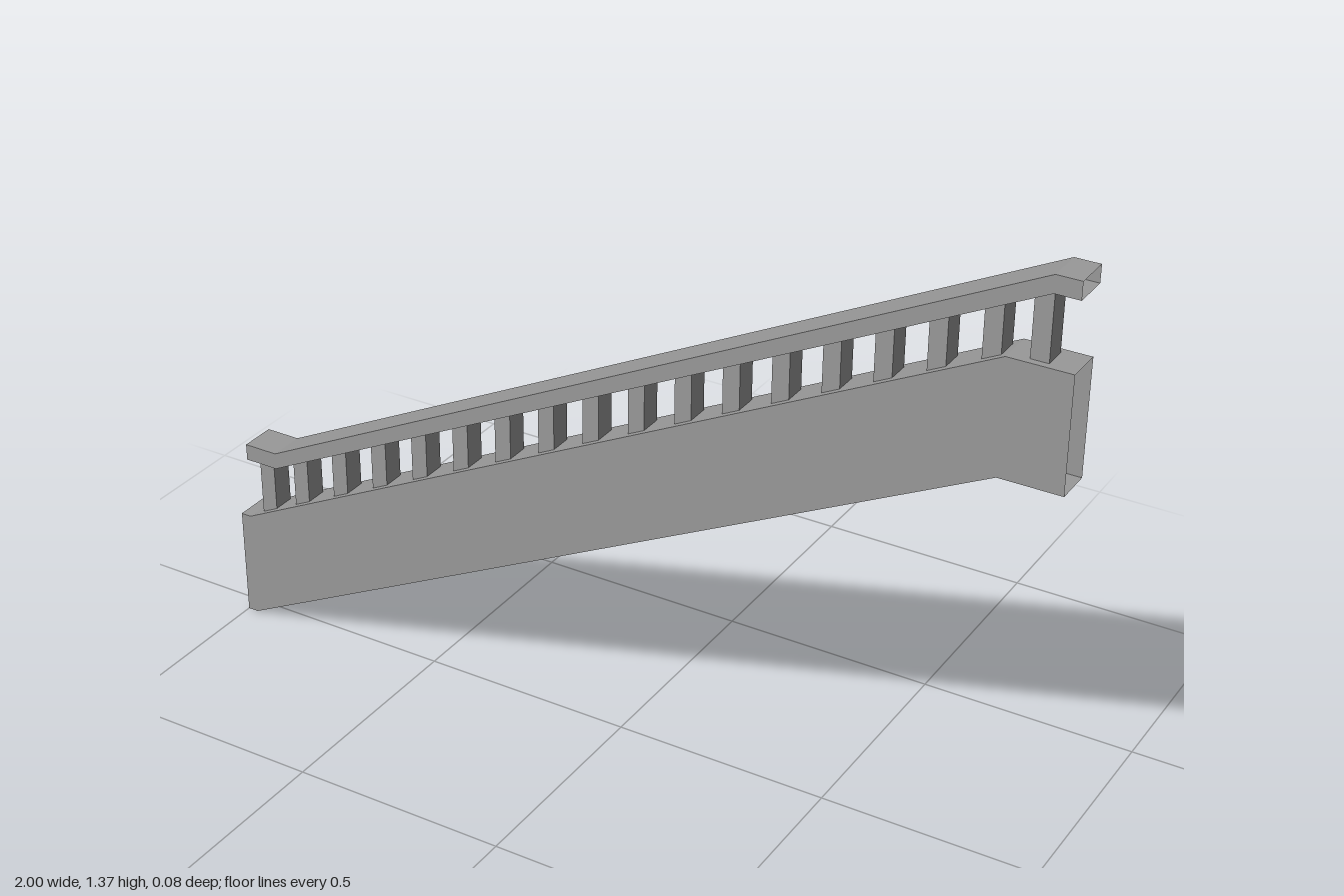
import * as THREE from 'three';

const material = new THREE.MeshStandardMaterial({
  color: 0x999999, flatShading: true, side: THREE.DoubleSide,
});

const SLOPE = 0.92 / 1.835;
const HALF_DEPTH = 0.042;

// Rectangular sleeve with open ends, swept through stations [x, bottom y]
function sleeve(name, stations, height, halfDepth) {
  const rings = stations.map(([x, y]) => [
    [x, y, halfDepth], [x, y + height, halfDepth],
    [x, y + height, -halfDepth], [x, y, -halfDepth],
  ]);
  const positions = [];
  for (let i = 0; i < rings.length - 1; i++) {
    for (let j = 0; j < 4; j++) {
      const k = (j + 1) % 4;
      const a = rings[i][j], b = rings[i + 1][j];
      const c = rings[i + 1][k], d = rings[i][k];
      positions.push(...a, ...b, ...c, ...a, ...c, ...d);
    }
  }
  const geometry = new THREE.BufferGeometry();
  geometry.setAttribute('position', new THREE.Float32BufferAttribute(positions, 3));
  geometry.computeVertexNormals();
  const mesh = new THREE.Mesh(geometry, material);
  mesh.name = name;
  return mesh;
}

// Height of a line that is level, climbs from x0 to x0 + 1.835, then is level
const climb = (x, x0, y0) => y0 + SLOPE * THREE.MathUtils.clamp(x - x0, 0, 1.835);

export function createModel() {
  const group = new THREE.Group();
  group.name = 'stairBalustrade';

  // Deep stringer and the thin rail above it
  group.add(sleeve('stringer',
    [[-1, 0], [-0.975, 0], [0.86, 0.92], [1, 0.92]], 0.26, HALF_DEPTH));
  group.add(sleeve('handrail',
    [[-0.972, 0.412], [-0.89, 0.412], [0.945, 1.332], [1, 1.332]], 0.039, HALF_DEPTH));

  // Balusters: sixteen evenly spaced plus one at each landing, set into the stringer
  const balusters = new THREE.Group();
  balusters.name = 'balusters';
  const centers = [-0.928, 0.922];
  for (let i = 0; i < 16; i++) centers.push(-0.832 + i * 0.1105);
  const width = 0.039;
  for (const x of centers) {
    const bottom = climb(x - width / 2, -0.975, 0.26) - 0.01;
    const top = climb(x + width / 2, -0.89, 0.412);
    const post = new THREE.Mesh(new THREE.BoxGeometry(width, top - bottom, 0.052), material);
    post.name = 'baluster';
    post.position.set(x, (top + bottom) / 2, 0);
    balusters.add(post);
  }
  group.add(balusters);
  return group;
}
